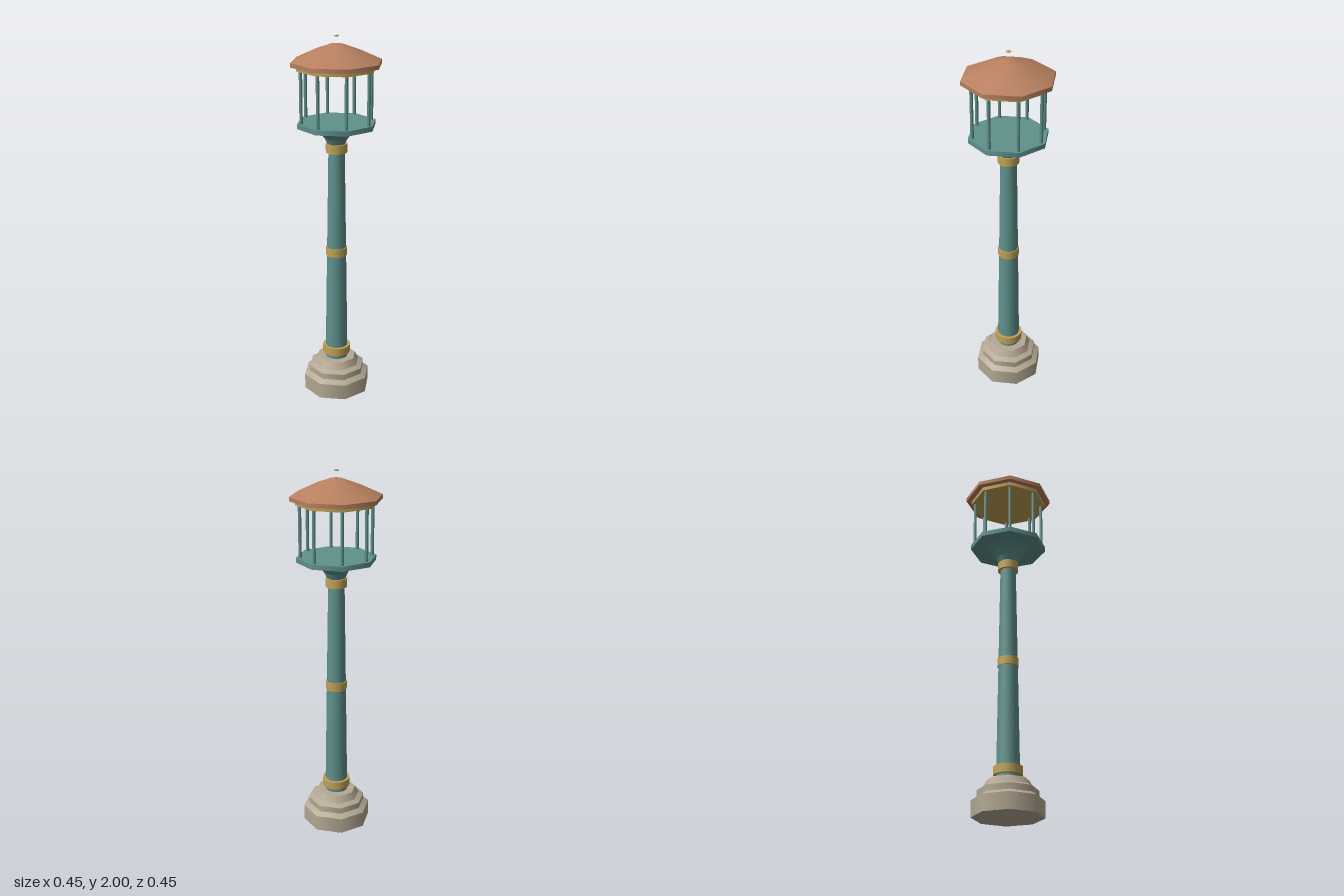
import * as THREE from 'three';

const material = (name, color) => {
  const m = new THREE.MeshStandardMaterial({ color });
  m.name = name;
  return m;
};

// Turned solid with crisp profile edges: inner points are doubled so each band
// keeps its own normals. Radii are measured to the middle of a flat side.
function turned(profile, sides) {
  const k = 1 / Math.cos(Math.PI / sides);
  const points = [];
  profile.forEach(([r, y], i) => {
    points.push(new THREE.Vector2(r * k, y));
    if (i > 0 && i < profile.length - 1) points.push(new THREE.Vector2(r * k, y));
  });
  return new THREE.LatheGeometry(points, sides, Math.PI / sides);
}

export function createModel() {
  const model = new THREE.Group();
  model.name = 'lampPost';
  const stone = material('stone', 0xb5a994);
  const teal = material('tealPaint', 0x5f918c);
  const gold = material('gold', 0xc2a355);
  const copper = material('copper', 0xb8805f);

  const add = (name, geometry, mat, parent = model) => {
    const mesh = new THREE.Mesh(geometry, mat);
    mesh.name = name;
    parent.add(mesh);
    return mesh;
  };

  // Stepped octagonal plinth
  add('base', turned([
    [0, 0], [0.172, 0], [0.172, 0.087], [0.145, 0.106], [0.145, 0.139],
    [0.118, 0.153], [0.1, 0.19], [0, 0.19],
  ], 8), stone);

  // Tapering column
  add('column', turned([[0.061, 0.185], [0.042, 1.44]], 16), teal);

  // Gold collars: bottom, middle, top
  [[0.075, 0.215, 0.26], [0.056, 0.808, 0.855], [0.056, 1.39, 1.437]].forEach(([r, y0, y1]) =>
    add('collar', turned([[0, y0], [r, y0], [r, y1], [0, y1]], 16), gold));

  // Flared bracket and lantern floor
  add('bracket', turned([[0.043, 1.43], [0.06, 1.468], [0.085, 1.502], [0.12, 1.527]], 8), teal);
  add('lanternFloor', turned([[0, 1.527], [0.195, 1.527], [0.195, 1.553], [0, 1.553]], 8), teal);

  // One slim bar at each corner of the lantern
  const bars = new THREE.Group();
  bars.name = 'lanternBars';
  model.add(bars);
  const barGeometry = new THREE.CylinderGeometry(0.009, 0.009, 0.28, 8);
  for (let i = 0; i < 8; i++) {
    const a = (i + 0.5) * Math.PI / 4;
    add('bar', barGeometry, teal, bars)
      .position.set(0.189 * Math.sin(a), 1.69, 0.189 * Math.cos(a));
  }

  // Gold band under the roof
  add('roofBand', turned([[0, 1.825], [0.195, 1.825], [0.195, 1.846], [0, 1.846]], 8), gold);

  // Domed octagonal roof
  add('roof', turned([
    [0, 1.846], [0.223, 1.846], [0.223, 1.868], [0.11, 1.924], [0.03, 1.955], [0, 1.96],
  ], 8), copper);

  // Tiny flattened finial above the roof
  const finial = add('finial', new THREE.SphereGeometry(0.015, 6, 4), gold);
  finial.scale.y = 0.25;
  finial.rotation.y = Math.PI / 6;
  finial.position.y = 1.996;

  return model;
}
